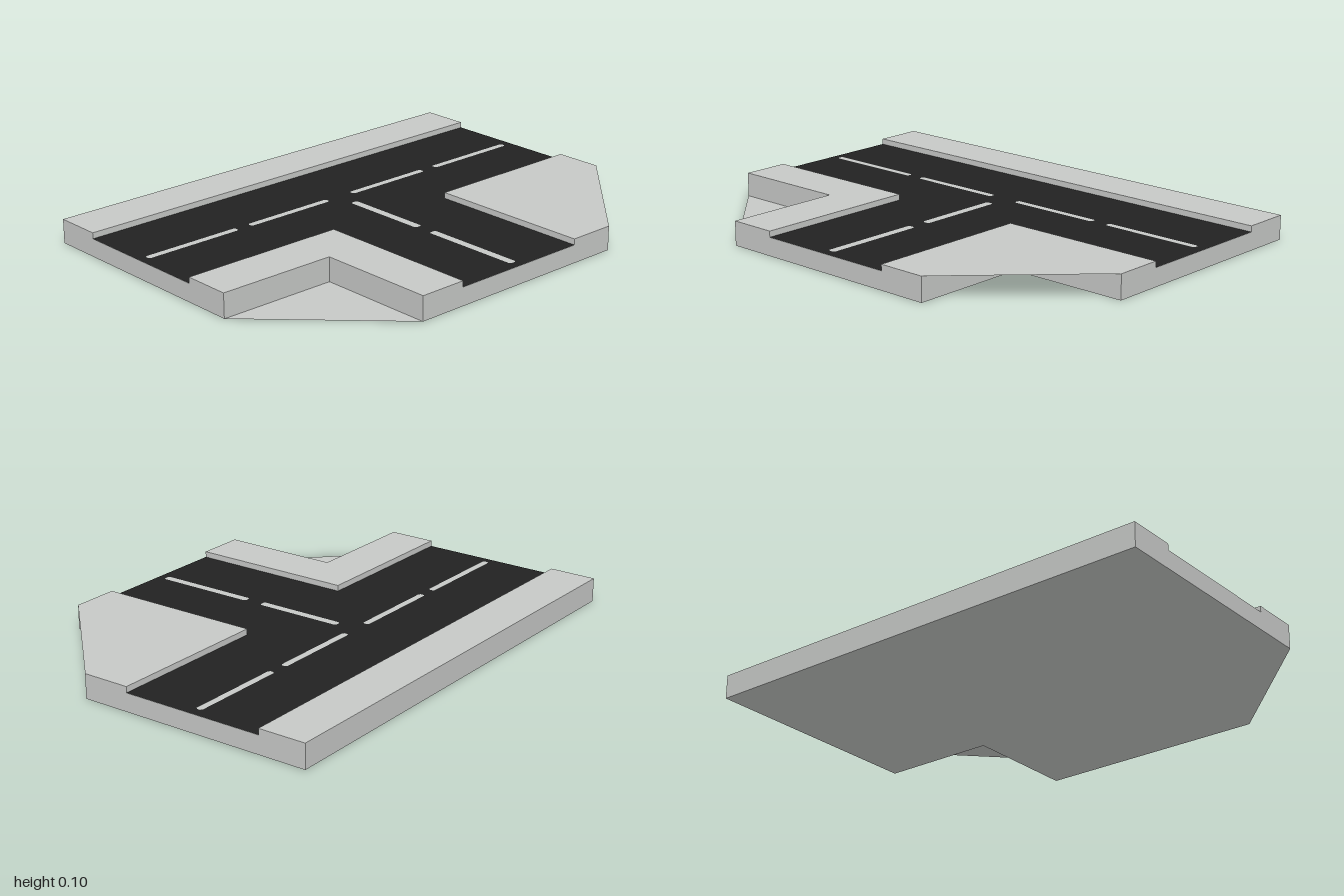
import * as THREE from 'three';

const KERB = 0.1, ROAD = 0.075;

// Shape drawn from ground-plane [x, z] points
const groundShape = (pts) => new THREE.Shape(pts.map(([x, z]) => new THREE.Vector2(x, -z)));

function slab(pts, height) {
  return new THREE.ExtrudeGeometry(groundShape(pts), { depth: height, bevelEnabled: false }).rotateX(-Math.PI / 2);
}

function sheet(pts, y) {
  return new THREE.ShapeGeometry(groundShape(pts)).rotateX(-Math.PI / 2).translate(0, y, 0);
}

export function createModel() {
  const group = new THREE.Group();
  const concrete = new THREE.MeshStandardMaterial({ color: 0xc6c8c6 });
  const concreteSheet = new THREE.MeshStandardMaterial({ color: 0xc6c8c6, side: THREE.DoubleSide });
  concrete.name = 'concrete';
  concreteSheet.name = 'concrete sheet';
  const asphalt = new THREE.MeshStandardMaterial({ color: 0x222222 });
  asphalt.name = 'asphalt';

  const add = (name, geometry, material) => {
    const mesh = new THREE.Mesh(geometry, material);
    mesh.name = name;
    group.add(mesh);
  };

  // T-shaped road bed with its dark surface
  const tee = [[-1, -0.55], [1, -0.55], [1, 0.05], [0.3, 0.05], [0.3, 0.75], [-0.3, 0.75], [-0.3, 0.05], [-1, 0.05]];
  add('roadBed', slab(tee, ROAD), concrete);
  add('roadSurface', sheet(tee, ROAD + 0.0006), asphalt);

  // Straight pavement behind the road
  add('backPavement', slab([[-1, -0.75], [1, -0.75], [1, -0.55], [-1, -0.55]], KERB), concrete);

  // L-shaped pavements, each with a corner triangle: on top at +x, on the ground at -x
  for (const s of [1, -1]) {
    const side = s > 0 ? 'left' : 'right';
    const ell = [[0.3, 0.05], [1, 0.05], [1, 0.25], [0.5, 0.25], [0.5, 0.75], [0.3, 0.75]];
    const corner = [[0.5, 0.25], [1, 0.25], [0.5, 0.75]];
    const flip = ([x, z]) => [s * x, z];
    add(side + 'Pavement', slab(ell.map(flip), KERB), concrete);
    add(side + 'CornerPlate', sheet(corner.map(flip), s > 0 ? KERB : 0), concreteSheet);
  }

  // Lane dashes with clipped corners
  const dash = (x0, x1, z0, z1) => {
    const c = 0.007;
    add('laneDash', sheet([
      [x0 + c, z0], [x1 - c, z0], [x1, z0 + c], [x1, z1 - c],
      [x1 - c, z1], [x0 + c, z1], [x0, z1 - c], [x0, z0 + c],
    ], ROAD + 0.0018), concrete);
  };
  for (const [a, b] of [[-0.965, -0.535], [-0.47, -0.065], [0.065, 0.465], [0.535, 0.96]]) dash(a, b, -0.265, -0.238);
  for (const [a, b] of [[-0.165, 0.21], [0.285, 0.715]]) dash(-0.016, 0.016, a, b);

  return group;
}
